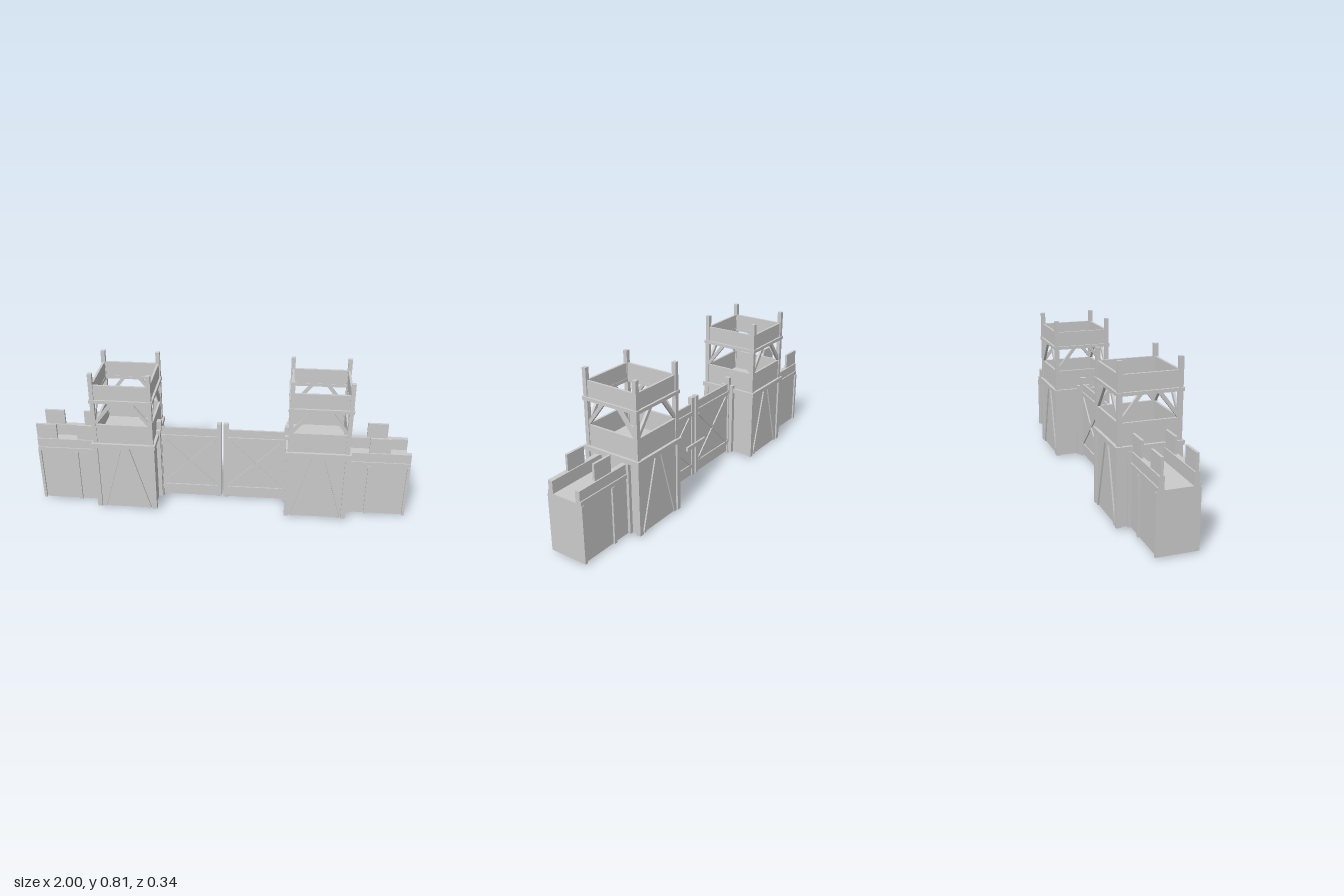
import * as THREE from 'three';

const material = new THREE.MeshStandardMaterial({ color: 0xcccccc, flatShading: true });

// Box given by its min/max on each axis
function block(parent, name, x0, x1, y0, y1, z0, z1) {
  const mesh = new THREE.Mesh(
    new THREE.BoxGeometry(Math.abs(x1 - x0), Math.abs(y1 - y0), Math.abs(z1 - z0)), material);
  mesh.position.set((x0 + x1) / 2, (y0 + y1) / 2, (z0 + z1) / 2);
  mesh.name = name;
  parent.add(mesh);
  return mesh;
}

// Slanted timber in the XY plane between two points, centred at depth z
function strut(parent, name, xa, ya, xb, yb, z, width, depth) {
  const mesh = new THREE.Mesh(
    new THREE.BoxGeometry(Math.hypot(xb - xa, yb - ya), width, depth), material);
  mesh.position.set((xa + xb) / 2, (ya + yb) / 2, z);
  mesh.rotation.z = Math.atan2(yb - ya, xb - xa);
  mesh.name = name;
  parent.add(mesh);
  return mesh;
}

// Four boards forming a square ring with outer half-width r and thickness t
function ring(parent, name, r, t, y0, y1) {
  for (const s of [-1, 1]) {
    block(parent, name, -r, r, y0, y1, s * (r - t), s * r);
    block(parent, name, s * (r - t), s * r, y0, y1, -r + t, r - t);
  }
}

function makeTower() {
  const tower = new THREE.Group();
  tower.name = 'watchtower';

  // Hollow base, open underneath, with a deck inside the raised rim
  ring(tower, 'baseWall', 0.155, 0.012, 0.01, 0.52);
  block(tower, 'deck', -0.145, 0.145, 0.4, 0.412, -0.145, 0.145);
  ring(tower, 'lowerBand', 0.17, 0.02, 0.387, 0.411);

  // Corner posts
  for (const sx of [-1, 1]) for (const sz of [-1, 1]) {
    block(tower, 'lowerPost', sx * 0.14, sx * 0.165, 0.01, 0.387, sz * 0.14, sz * 0.165);
    block(tower, 'upperPost', sx * 0.138, sx * 0.16, 0.411, 0.81, sz * 0.138, sz * 0.16);
  }

  // Leaning timbers on the front and back of the base
  for (const sz of [-1, 1]) for (const sx of [-1, 1])
    strut(tower, 'baseBrace', sx * 0.125, 0.012, sx * 0.02, 0.387, sz * 0.157, 0.018, 0.012);

  // Lookout parapet and its rail
  ring(tower, 'lookoutRail', 0.165, 0.025, 0.648, 0.665);
  ring(tower, 'lookoutParapet', 0.154, 0.012, 0.66, 0.746);

  // Knee braces on all four sides
  for (let i = 0; i < 4; i++) {
    const side = new THREE.Group();
    side.name = 'kneeBraces';
    side.rotation.y = i * Math.PI / 2;
    for (const sx of [-1, 1])
      strut(side, 'kneeBrace', sx * 0.142, 0.527, sx * 0.045, 0.652, 0.149, 0.018, 0.014);
    tower.add(side);
  }
  return tower;
}

// Battlement wall on side s, with merlons given as [near, far] distances from x = 0
function makeWall(s, merlons) {
  const wall = new THREE.Group();
  wall.name = s > 0 ? 'leftWall' : 'rightWall';
  block(wall, 'wallEnd', s * 0.992, s, 0.01, 0.32, -0.09, 0.09);
  block(wall, 'walkway', s * 0.66, s, 0.31, 0.32, -0.09, 0.09);
  for (const sz of [-1, 1]) {
    block(wall, 'wallFace', s * 0.66, s, 0.01, 0.32, sz * 0.087, sz * 0.095);
    block(wall, 'parapet', s * 0.66, s, 0.32, 0.385, sz * 0.069, sz * 0.095);
    block(wall, 'wallRail', s * 0.66, s, 0.312, 0.334, sz * 0.093, sz * 0.101);
    block(wall, 'towerJoint', s * 0.668, s * 0.686, 0.01, 0.387, sz * 0.085, sz * 0.11);
    for (const x of [0.78, 0.985])
      block(wall, 'wallPost', s * x, s * (x + 0.015), 0.01, 0.312, sz * 0.093, sz * 0.105);
    for (const [a, b] of merlons)
      block(wall, 'merlon', s * a, s * b, 0.38, 0.47, sz * 0.075, sz * 0.088);
  }
  return wall;
}

function makeGateLeaf(s) {
  const leaf = new THREE.Group();
  leaf.name = s > 0 ? 'leftGateLeaf' : 'rightGateLeaf';
  block(leaf, 'planks', s * 0.02, s * 0.345, 0.01, 0.438, -0.005, 0.005);
  block(leaf, 'meetingPost', s * 0.006, s * 0.03, 0.01, 0.475, -0.013, 0.013);
  block(leaf, 'hingePost', s * 0.333, s * 0.357, 0, 0.475, -0.015, 0.015);
  // Rails and crossed braces on both faces
  for (const sz of [-1, 1]) {
    for (const y of [0.055, 0.37])
      block(leaf, 'gateRail', s * 0.03, s * 0.333, y, y + 0.024, sz * 0.004, sz * 0.012);
    strut(leaf, 'crossBrace', 0.04 * s, 0.085, 0.323 * s, 0.365, sz * 0.008, 0.02, 0.008);
    strut(leaf, 'crossBrace', 0.04 * s, 0.365, 0.323 * s, 0.085, sz * 0.0075, 0.02, 0.008);
    // Jamb boards against the tower
    block(leaf, 'jamb', s * 0.336, s * 0.36, 0.01, 0.43, sz * 0.017, sz * 0.038);
  }
  return leaf;
}

export function createModel() {
  const model = new THREE.Group();
  model.name = 'fortGate';
  for (const s of [-1, 1]) {
    const tower = makeTower();
    tower.position.x = s * 0.513;
    model.add(tower, makeGateLeaf(s));
  }
  model.add(makeWall(1, [[0.78, 0.89]]));
  model.add(makeWall(-1, [[0.67, 0.78], [0.89, 1]]));

  // Locking bar across the back of the gate
  block(model, 'lockingBar', -0.085, 0.085, 0.182, 0.204, -0.023, -0.012);
  return model;
}
